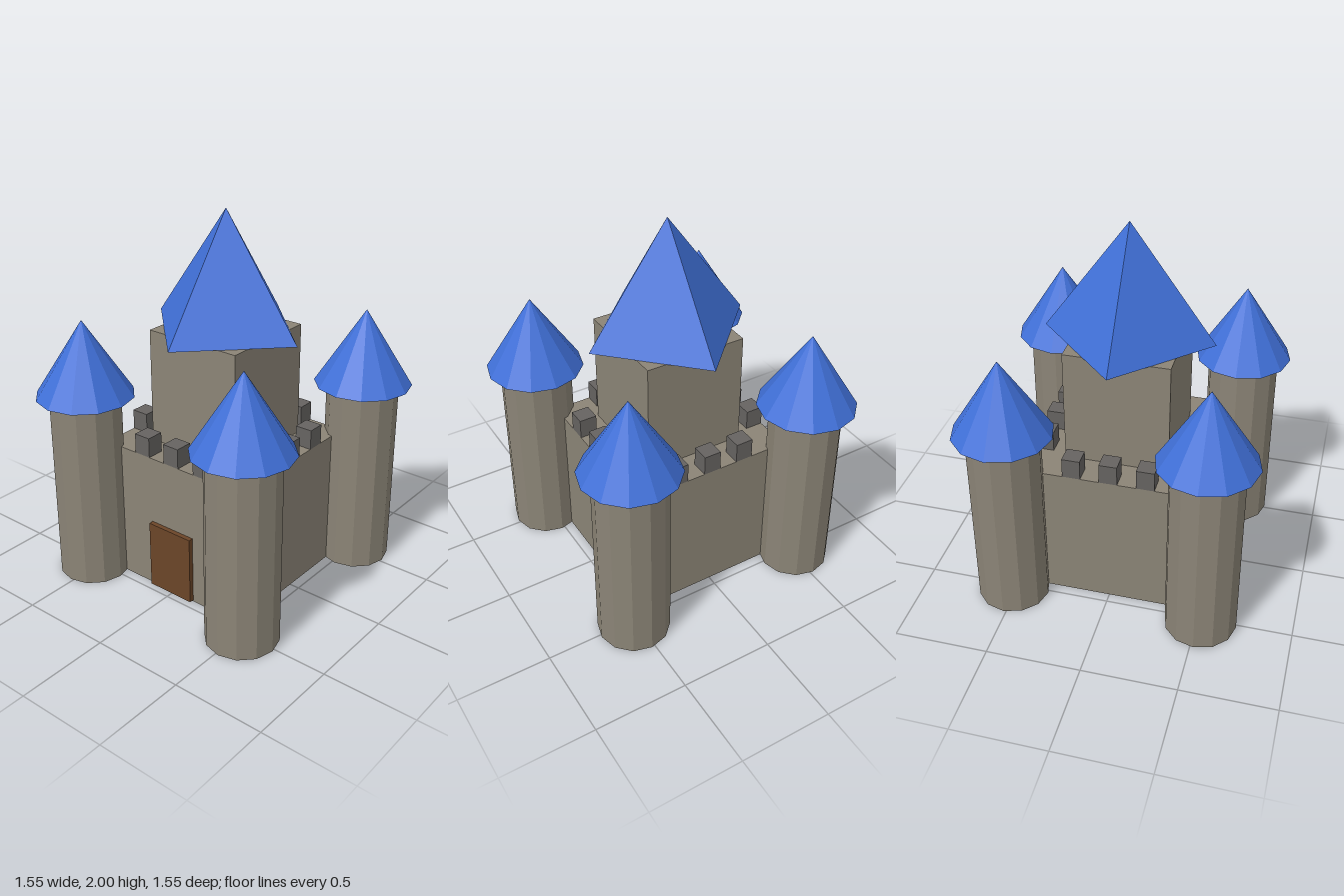
import * as THREE from 'three';

const material = (name, color) => {
  const m = new THREE.MeshStandardMaterial({ color, flatShading: true });
  m.name = name;
  return m;
};

export function createModel() {
  const castle = new THREE.Group();
  castle.name = 'castle';

  const stone = material('stone', 0x8b8476);
  const darkStone = material('dark stone', 0x666361);
  const roofBlue = material('roof blue', 0x4070d8);
  const wood = material('wood', 0x6b4528);

  // Places a part so that its base sits at the given height
  const add = (name, geometry, mat, x, base, z, height) => {
    const mesh = new THREE.Mesh(geometry, mat);
    mesh.name = name;
    mesh.position.set(x, base + height / 2, z);
    castle.add(mesh);
  };
  const box = (name, mat, w, h, d, x, base, z) =>
    add(name, new THREE.BoxGeometry(w, h, d), mat, x, base, z, h);

  const half = 0.446, wallTop = 0.762, keepTop = 1.381;

  // Main walls, keep and front door
  box('walls', stone, half * 2, wallTop, half * 2, 0, 0, 0);
  box('keep', stone, 0.55, keepTop - wallTop, 0.55, 0, wallTop, 0);
  box('door', wood, 0.274, 0.378, 0.05, 0, 0.009, 0.447);

  // Four-sided keep roof, turned with its corners over the wall centres
  add('keepRoof', new THREE.ConeGeometry(half, 2 - keepTop, 4), roofBlue, 0, keepTop, 0, 2 - keepTop);

  // Battlements flush with the outer faces, three per side
  const size = 0.095, edge = half - size / 2;
  for (const side of [-1, 1]) {
    for (const along of [-0.194, 0, 0.194]) {
      box('battlement', darkStone, size, 0.108, size, along, wallTop, side * edge);
      box('battlement', darkStone, size, 0.108, size, side * edge, wallTop, along);
    }
  }

  // Corner towers with pointed roofs
  const corner = 0.517, towerTop = 1.04, roofHeight = 0.408;
  const towerGeometry = new THREE.CylinderGeometry(0.191, 0.191, towerTop, 12);
  const roofGeometry = new THREE.ConeGeometry(0.259, roofHeight, 12);
  for (const x of [-corner, corner]) {
    for (const z of [-corner, corner]) {
      add('tower', towerGeometry, stone, x, 0, z, towerTop);
      add('towerRoof', roofGeometry, roofBlue, x, towerTop, z, roofHeight);
    }
  }

  return castle;
}
